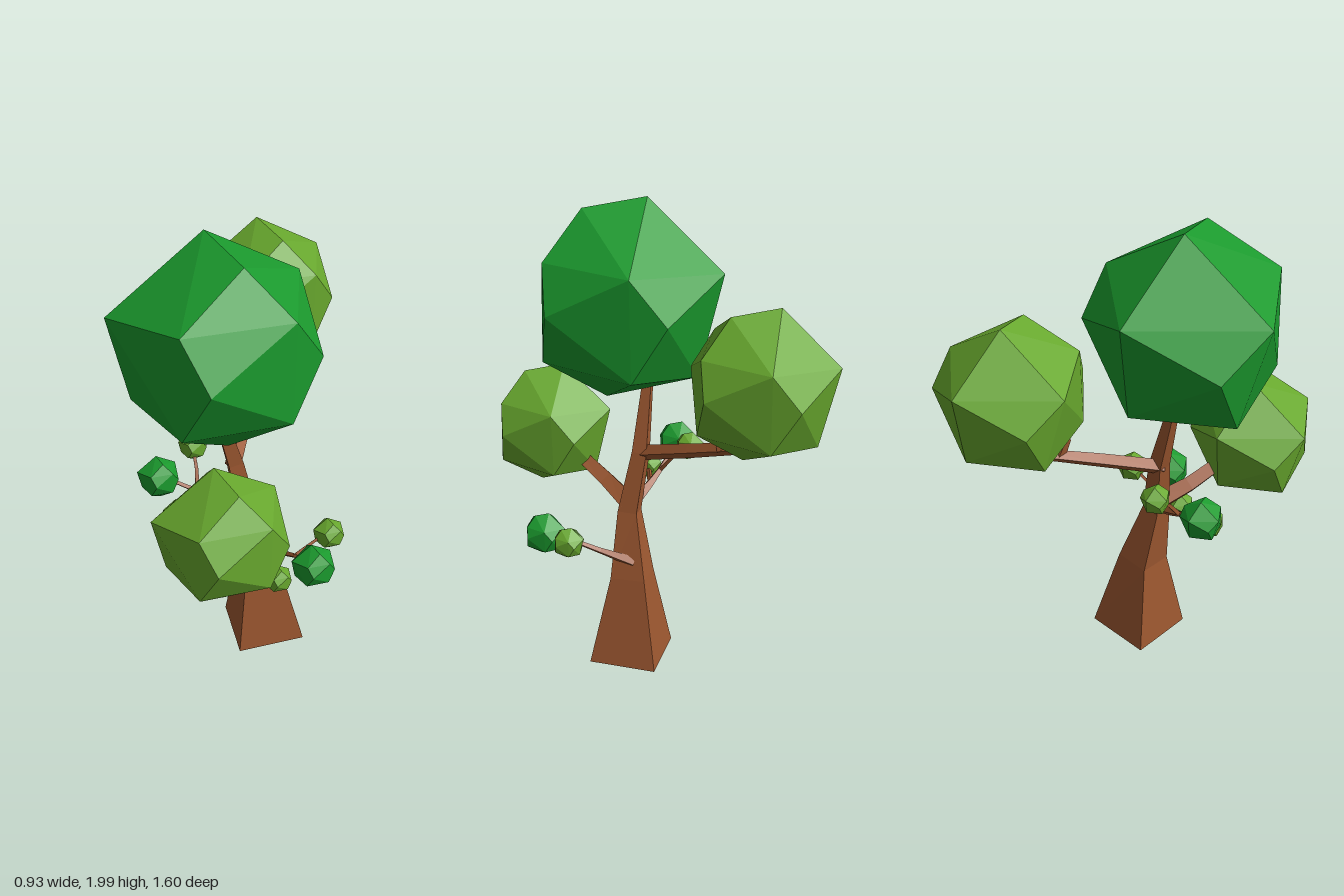
import * as THREE from 'three';
import { ConvexGeometry } from 'three/addons/geometries/ConvexGeometry.js';

const material = (color) => new THREE.MeshStandardMaterial({ color, flatShading: true, roughness: 1 });

// Faceted leaf crown shared by every clump, about 0.42 in radius
const crownPoints = [
  [-0.06, 0.42, -0.05], [0.15, 0.38, 0.10], // top pair
  [0.01, 0.21, 0.36], [0.35, 0.20, 0.10], [0.23, 0.20, -0.28], [-0.22, 0.14, -0.33], [-0.35, 0.14, 0.21], // upper ring
  [0.14, 0.02, 0.40], [0.42, 0.02, 0.00], [0.14, 0.02, -0.40], [-0.41, -0.03, 0.00], // middle ring
  [0.01, -0.22, 0.37], [0.35, -0.22, 0.12], [0.23, -0.22, -0.29], [-0.13, -0.29, -0.28], [-0.32, -0.28, 0.10], // lower ring
  [0.07, -0.43, 0.06], // bottom
];

// Four-sided tapering limb through points [x, y, z, radius]
function limbGeometry(points, ref) {
  const centres = points.map((p) => new THREE.Vector3(p[0], p[1], p[2]));
  const n = points.length;
  const positions = [];
  const indices = [];
  centres.forEach((c, i) => {
    const t = centres[Math.min(i + 1, n - 1)].clone().sub(centres[Math.max(i - 1, 0)]).normalize();
    const u = ref.clone().addScaledVector(t, -ref.dot(t)).normalize();
    const v = t.clone().cross(u);
    for (let j = 0; j < 4; j++) {
      const a = (j * Math.PI) / 2;
      const p = c.clone()
        .addScaledVector(u, Math.cos(a) * points[i][3])
        .addScaledVector(v, Math.sin(a) * points[i][3]);
      positions.push(p.x, p.y, p.z);
    }
  });
  for (let i = 0; i < n - 1; i++) {
    for (let j = 0; j < 4; j++) {
      const a = i * 4 + j;
      const b = i * 4 + ((j + 1) % 4);
      indices.push(a, b, b + 4, a, b + 4, a + 4);
    }
  }
  const e = (n - 1) * 4;
  indices.push(0, 2, 1, 0, 3, 2, e, e + 1, e + 2, e, e + 2, e + 3); // end caps
  const g = new THREE.BufferGeometry();
  g.setAttribute('position', new THREE.Float32BufferAttribute(positions, 3));
  g.setIndex(indices);
  const flat = g.toNonIndexed();
  flat.computeVertexNormals();
  return flat;
}

export function createModel() {
  const tree = new THREE.Group();
  tree.name = 'tree';
  const bark = material(0x9c5730);
  const darkLeaf = material(0x1b9a2e);
  const lightLeaf = material(0x68a82e);
  const upright = new THREE.Vector3(-0.2, 0, 1);
  const sideways = new THREE.Vector3(0, 1, 0);

  const addLimb = (name, points, ref = sideways) => {
    const mesh = new THREE.Mesh(limbGeometry(points, ref), bark);
    mesh.name = name;
    tree.add(mesh);
  };

  // Trunk, with its top running into the main crown
  addLimb('trunk', [
    [0.09, 0.015, 0.03, 0.204], [0.07, 0.4, 0.045, 0.105], [0.04, 0.68, 0.095, 0.058],
    [-0.02, 0.94, 0.09, 0.044], [-0.09, 1.24, 0.125, 0.026],
  ], upright);

  // Main branches
  addLimb('backBranch', [[-0.025, 0.93, 0.1, 0.034], [-0.06, 1.03, -0.17, 0.031], [-0.1, 1.13, -0.44, 0.024]]);
  addLimb('backFork', [[-0.08, 1.09, -0.34, 0.028], [-0.08, 1.16, -0.31, 0.022], [-0.08, 1.25, -0.31, 0.018]], upright);
  addLimb('frontBranch', [[0.035, 0.71, 0.1, 0.05], [0.045, 0.77, 0.24, 0.042], [0.08, 0.86, 0.42, 0.036]]);

  // Twigs on the right side
  addLimb('rightTwig', [[0.02, 0.7, 0.1, 0.032], [-0.09, 0.745, 0.12, 0.02], [-0.18, 0.79, 0.14, 0.012]]);
  addLimb('rightTwigOuter', [[-0.17, 0.785, 0.14, 0.012], [-0.3, 0.85, 0.18, 0.008]]);
  addLimb('rightTwigUpper', [[-0.17, 0.78, 0.14, 0.012], [-0.19, 0.85, 0.09, 0.01], [-0.23, 0.92, 0.03, 0.008]], upright);
  addLimb('rightTwigLower', [[-0.1, 0.75, 0.12, 0.014], [-0.2, 0.75, 0.25, 0.008]]);

  // Twigs on the left side
  addLimb('leftTwig', [[0.09, 0.48, 0.01, 0.026], [0.19, 0.53, 0.11, 0.014], [0.28, 0.585, 0.17, 0.01]]);
  addLimb('leftTwigOuter', [[0.27, 0.58, 0.165, 0.01], [0.36, 0.63, 0.24, 0.008]]);
  addLimb('leftTwigUpper', [[0.27, 0.58, 0.165, 0.01], [0.37, 0.66, 0.08, 0.007]]);
  addLimb('leftTwigLower', [[0.18, 0.525, 0.1, 0.012], [0.23, 0.53, 0.25, 0.008]]);

  // Leaf clumps: name, position, scale, colour
  const crown = new ConvexGeometry(crownPoints.map((p) => new THREE.Vector3(...p)));
  const clumps = [
    ['mainCrown', [-0.05, 1.58, 0.2], 1, darkLeaf],
    ['frontCrown', [0.095, 0.955, 0.54], 0.65, lightLeaf],
    ['backCrown', [-0.115, 1.415, -0.51], 0.73, lightLeaf],
    ['rightOuterClump', [-0.32, 0.86, 0.19], 0.215, darkLeaf],
    ['rightUpperClump', [-0.235, 0.925, 0.02], 0.15, lightLeaf],
    ['rightLowerClump', [-0.21, 0.75, 0.26], 0.145, lightLeaf],
    ['leftOuterClump', [0.375, 0.63, 0.245], 0.22, darkLeaf],
    ['leftUpperClump', [0.385, 0.665, 0.07], 0.16, lightLeaf],
    ['leftLowerClump', [0.23, 0.525, 0.26], 0.145, lightLeaf],
  ];
  for (const [name, position, scale, leaf] of clumps) {
    const mesh = new THREE.Mesh(crown, leaf);
    mesh.name = name;
    mesh.position.set(...position);
    mesh.scale.setScalar(scale);
    tree.add(mesh);
  }
  return tree;
}
